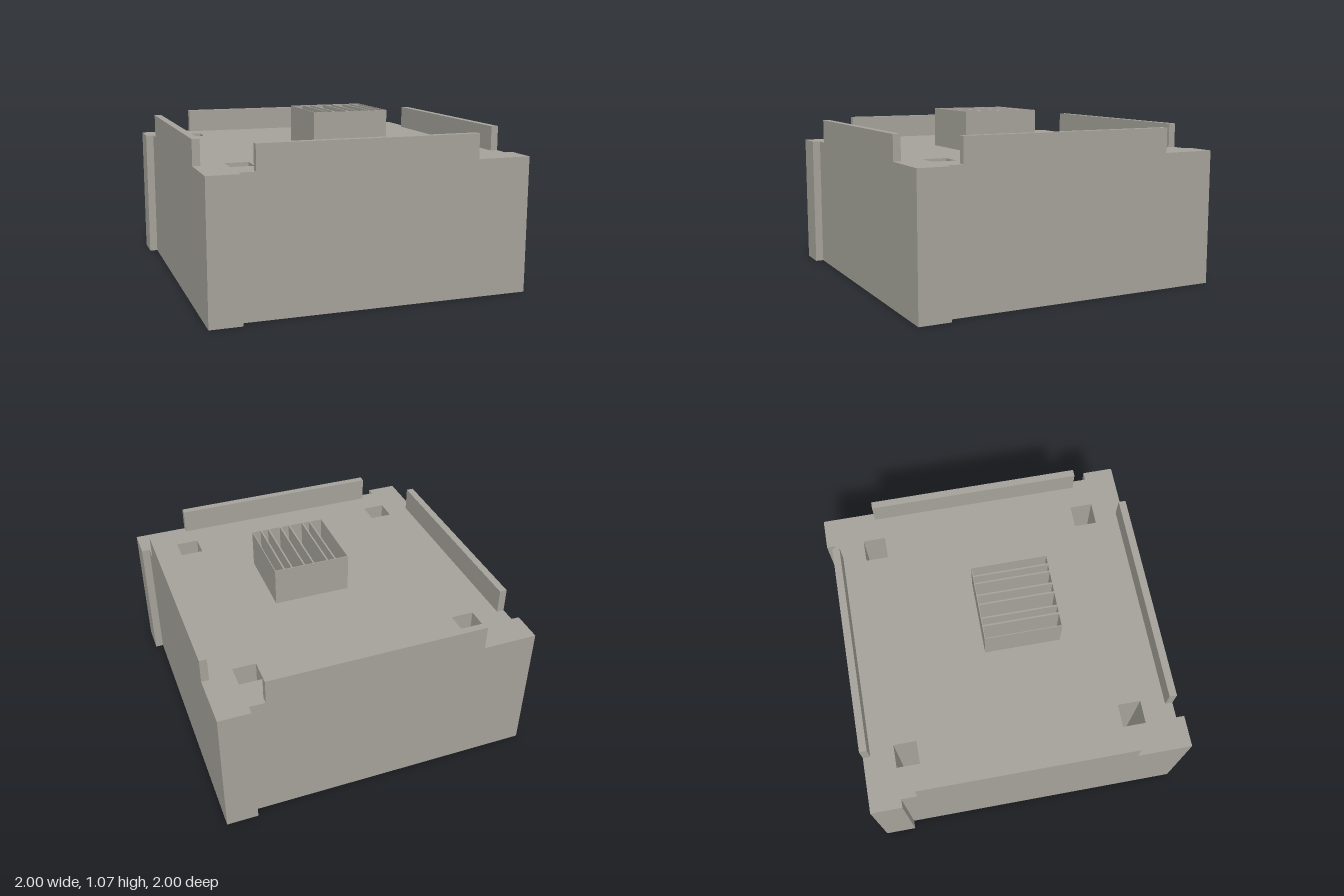
import * as THREE from 'three';

const DECK = 0.83;   // top of the main block
const RECESS = 0.08; // depth of the slots underneath

export function createModel() {
  const group = new THREE.Group();
  const grey = new THREE.MeshStandardMaterial({ color: 0xa3a198 });

  const add = (name, geometry, x = 0, y = 0, z = 0) => {
    const mesh = new THREE.Mesh(geometry, grey);
    mesh.name = name;
    mesh.position.set(x, y, z);
    group.add(mesh);
    return mesh;
  };
  const box = (name, x0, x1, y0, y1, z0, z1) =>
    add(name, new THREE.BoxGeometry(x1 - x0, y1 - y0, z1 - z0),
      (x0 + x1) / 2, (y0 + y1) / 2, (z0 + z1) / 2);

  // Footprint: a square with one interlocking tab per side, the same at each quarter turn
  const footprint = () => {
    const pts = [];
    for (let i = 0; i < 4; i++) {
      const c = [1, 0, -1, 0][i], s = [0, 1, 0, -1][i];
      for (const [x, y] of [[0.95, 0.76], [1, 0.76], [1, 0.95]]) {
        pts.push(new THREE.Vector2(x * c - y * s, x * s + y * c));
      }
    }
    const shape = new THREE.Shape(pts);
    // Square through holes near the corners
    for (const sx of [-1, 1]) for (const sy of [-1, 1]) {
      const corners = [[-1, -1], [-1, 1], [1, 1], [1, -1]];
      shape.holes.push(new THREE.Path(corners.map(([u, v]) =>
        new THREE.Vector2(sx * 0.69 + u * 0.07, sy * 0.69 + v * 0.07))));
    }
    return shape;
  };
  const slab = (name, shape, y0, y1) => {
    const geometry = new THREE.ExtrudeGeometry(shape,
      { depth: y1 - y0, bevelEnabled: false, curveSegments: 16 });
    geometry.rotateX(Math.PI / 2);
    add(name, geometry, 0, y1, 0);
  };

  // Underside layer with a centre hole and four curved mounting slots
  const base = footprint();
  base.holes.push(new THREE.Path().absarc(0, 0, 0.058, 0, Math.PI * 2, true));
  for (let i = 0; i < 4; i++) {
    const end = i * Math.PI / 2, start = end - Math.PI / 4;
    const slot = new THREE.Path();
    slot.absarc(0, 0, 0.52, start, end, false);
    slot.absarc(0, 0, 0.475, end, start, true);
    slot.closePath();
    base.holes.push(slot);
  }
  slab('slottedBase', base, 0, RECESS);
  slab('body', footprint(), RECESS, DECK);

  // Low rails along the four edges of the deck
  for (const s of [-1, 1]) {
    const a = Math.min(s * 0.905, s * 0.95), b = Math.max(s * 0.905, s * 0.95);
    box('edgeRail', -0.665, 0.665, DECK, 0.98, a, b);
    box('edgeRail', a, b, DECK, 0.98, -0.665, 0.665);
  }

  // Open-topped finned block
  const x0 = -0.14, x1 = 0.335, z0 = -0.115, z1 = 0.36, top = 1.07, t = 0.005;
  box('finHousingWall', x0, x0 + t, DECK, top, z0, z1);
  box('finHousingWall', x1 - t, x1, DECK, top, z0, z1);
  box('finHousingWall', x0 + t, x1 - t, DECK, top, z0, z0 + t);
  box('finHousingWall', x0 + t, x1 - t, DECK, top, z1 - t, z1);
  for (const x of [-0.055, -0.005, 0.085, 0.145, 0.225, 0.275]) {
    box('fin', x - 0.005, x + 0.005, DECK, top, z0 + t, z1 - t);
  }

  return group;
}
